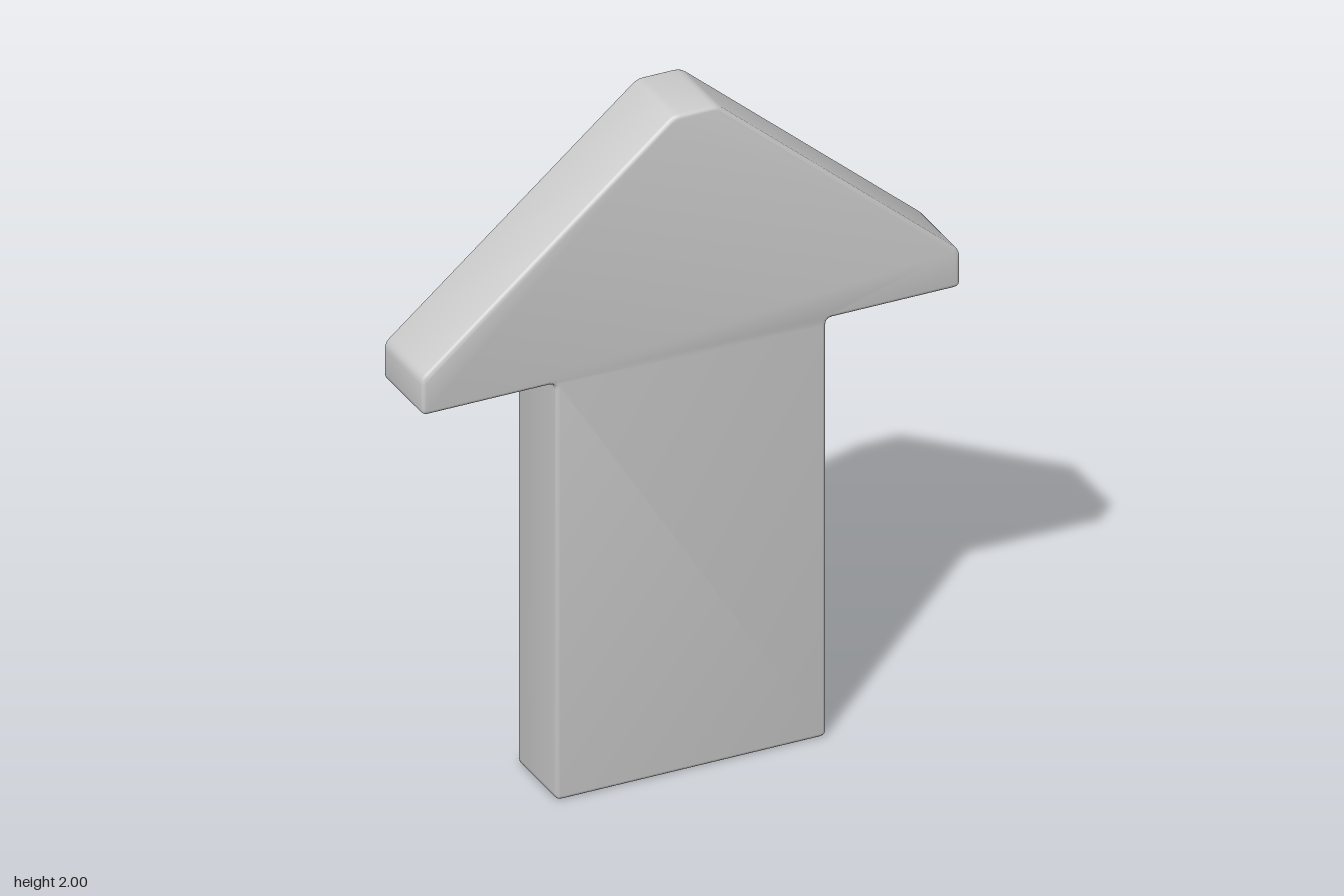
import * as THREE from 'three';
import { toCreasedNormals } from 'three/addons/utils/BufferGeometryUtils.js';

const DEPTH = 0.235;
const BEVEL = 0.012;

// Closed outline whose corners are each softened by a small curve
function roundedOutline(corners, radius) {
  const shape = new THREE.Shape();
  const points = corners.map(([x, y]) => new THREE.Vector2(x, y));
  points.forEach((corner, i) => {
    const before = points[(i + points.length - 1) % points.length];
    const after = points[(i + 1) % points.length];
    const start = before.clone().sub(corner).setLength(radius).add(corner);
    const end = after.clone().sub(corner).setLength(radius).add(corner);
    if (i === 0) shape.moveTo(start.x, start.y);
    else shape.lineTo(start.x, start.y);
    shape.quadraticCurveTo(corner.x, corner.y, end.x, end.y);
  });
  shape.closePath();
  return shape;
}

export function createModel() {
  const group = new THREE.Group();
  group.name = 'arrow';

  // Stem, wings and slightly off-centre blunt tip, counter-clockwise
  const outline = roundedOutline([
    [-0.4, 0], [0.4, 0], [0.4, 1.27], [0.797, 1.27], [0.797, 1.38],
    [0.079, 2], [-0.049, 2], [-0.797, 1.38], [-0.797, 1.27], [-0.4, 1.27],
  ], 0.018);

  // Thick plate with rounded front and back edges
  const geometry = new THREE.ExtrudeGeometry(outline, {
    depth: DEPTH - 2 * BEVEL,
    curveSegments: 3,
    bevelEnabled: true,
    bevelThickness: BEVEL,
    bevelSize: BEVEL,
    bevelOffset: -BEVEL,
    bevelSegments: 3,
  });
  geometry.translate(0, 0, BEVEL - DEPTH / 2);

  const arrow = new THREE.Mesh(
    toCreasedNormals(geometry, 0.65),
    new THREE.MeshStandardMaterial({ color: 0xcccccc }),
  );
  arrow.name = 'arrowPlate';
  group.add(arrow);
  return group;
}
